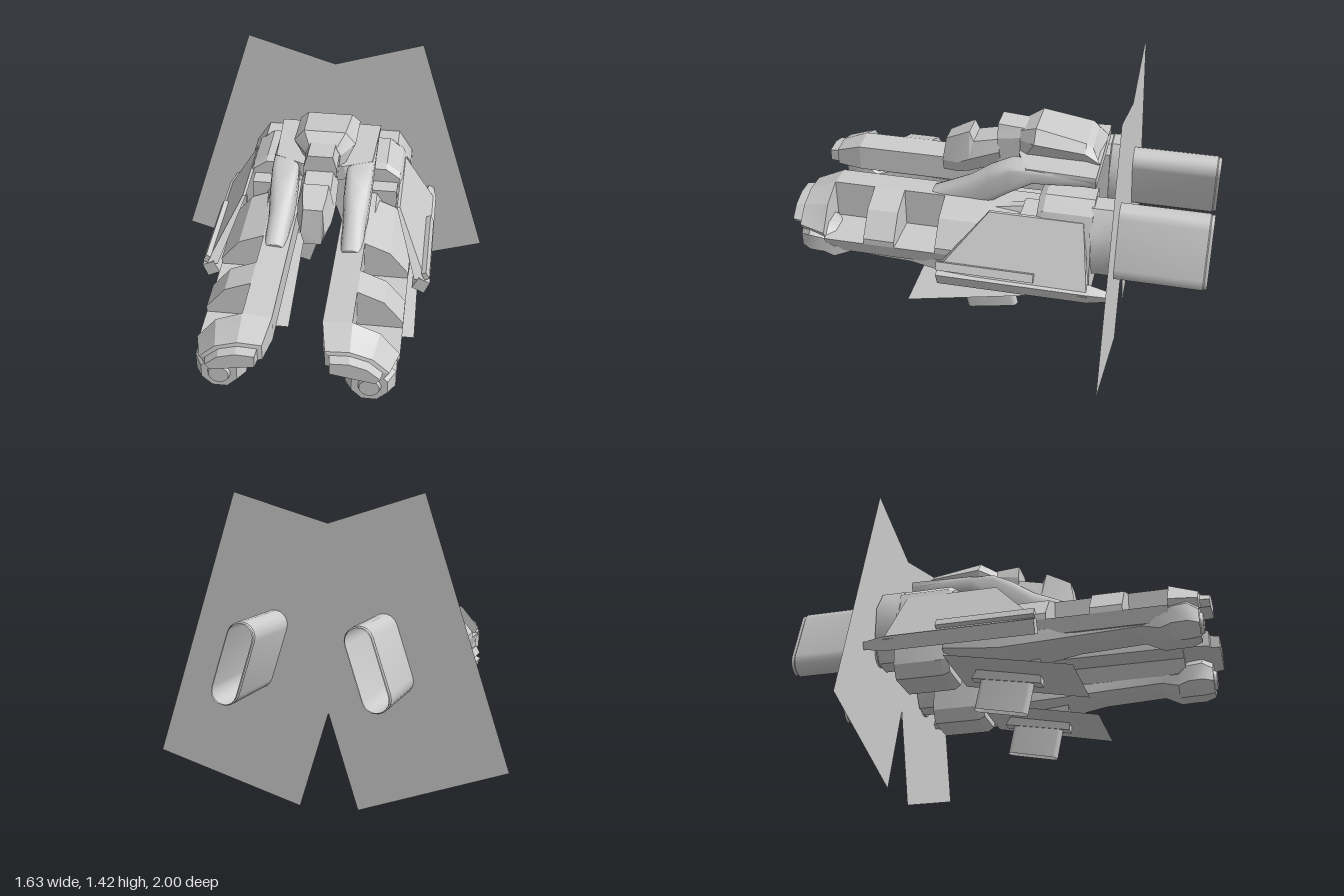
import * as THREE from 'three';
import { toCreasedNormals } from 'three/addons/utils/BufferGeometryUtils.js';

const mat = new THREE.MeshStandardMaterial({ color: 0xcccccc, side: THREE.DoubleSide });

function add(parent, name, geo, crease = 0.6) {
  const g = geo.index ? geo.toNonIndexed() : geo;
  const mesh = new THREE.Mesh(toCreasedNormals(g, crease), mat);
  mesh.name = name;
  parent.add(mesh);
  return mesh;
}

// Skin between loops of [x, y, z] points, optionally capped at both ends
function loft(loops, capped = true) {
  const n = loops[0].length, pos = loops.flat(2), idx = [];
  for (let s = 0; s < loops.length - 1; s++)
    for (let i = 0; i < n; i++) {
      const a = s * n + i, b = s * n + (i + 1) % n;
      idx.push(a, b, a + n, b, b + n, a + n);
    }
  if (capped) {
    const e = (loops.length - 1) * n;
    for (let i = 1; i < n - 1; i++) idx.push(0, i + 1, i, e, e + i, e + i + 1);
  }
  const g = new THREE.BufferGeometry();
  g.setAttribute('position', new THREE.Float32BufferAttribute(pos, 3));
  g.setIndex(idx);
  return g;
}

// Elliptical loop facing z; a power below 1 makes it boxier
function ring(cx, cy, z, rx, ry, n = 8, power = 1) {
  const bend = v => Math.sign(v) * Math.abs(v) ** power;
  return Array.from({ length: n }, (_, i) => {
    const a = ((i + 0.5) / n) * Math.PI * 2;
    return [cx + rx * bend(Math.cos(a)), cy + ry * bend(Math.sin(a)), z];
  });
}

// Six-sided symmetric loop: half-widths and heights of its top, middle and bottom
const hex = (z, wt, yt, wm, ym, wb, yb, dz = 0) => [
  [wb, yb, z], [wm, ym, z], [wt, yt, z + dz], [-wt, yt, z + dz], [-wm, ym, z], [-wb, yb, z]];

const shape = pts => new THREE.Shape(pts.map(p => new THREE.Vector2(...p)));
const prism = (pts, z0, z1) => new THREE.ExtrudeGeometry(shape(pts), { depth: z1 - z0, bevelEnabled: false }).translate(0, 0, z0);
const box = (x0, x1, y0, y1, z0, z1) => new THREE.BoxGeometry(x1 - x0, y1 - y0, z1 - z0)
  .translate((x0 + x1) / 2, (y0 + y1) / 2, (z0 + z1) / 2);

// Open flattened tube along z: [z, radius] steps, straight half-length h
const ovalTube = (steps, h) => loft(steps.map(([z, r]) => Array.from({ length: 20 }, (_, i) => {
  const top = i < 10, t = (top ? i / 9 : (i - 1) / 9) * Math.PI;
  return [r * Math.cos(t), (top ? h : -h) + r * Math.sin(t), z];
})), false);

function buildSide() {
  const side = new THREE.Group();

  // Forearm cowl with two square pits in its sloped outer shoulder
  const slope = [[0.24, 0.63], [0.24, 0.82], [0.36, 0.77], [0.45, 0.66], [0.45, 0.63]];
  const core = [[0.11, 0.68], [0.11, 0.81], [0.24, 0.82], [0.24, 0.63], [0.45, 0.63], [0.43, 0.56], [0.26, 0.55], [0.2, 0.66]];
  add(side, 'cowlCore', prism(core, -0.22, 0.82), 0.3);
  for (const [a, b] of [[-0.1, 0.27], [0.47, 0.62]]) add(side, 'cowlShoulder', prism(slope, a, b), 0.3);
  const nose = (z, k) => [[0.11, 0.68], [0.11, 0.81], [0.24, 0.82], [0.36, 0.77], [0.45, 0.66], [0.42, 0.6], [0.25, 0.67]]
    .map(([x, y]) => [0.25 + (x - 0.25) * k[0], 0.68 + (y - 0.68) * k[1], z]);
  add(side, 'cowlNose', loft([nose(0.82, [1, 1]), nose(0.95, [0.82, 0.62]), nose(0.955, [0.68, 0.5]), nose(1, [0.64, 0.45])]), 0.3);

  // Gun barrel under the cowl: z, rx, ry, y
  const barrel = [[-0.22, 0.12, 0.06, 0.57], [-0.08, 0.13, 0.075, 0.555], [0.05, 0.13, 0.08, 0.545], [0.25, 0.12, 0.075, 0.555],
    [0.4, 0.1, 0.06, 0.565], [0.7, 0.1, 0.055, 0.575], [0.78, 0.12, 0.075, 0.555], [0.83, 0.12, 0.105, 0.585],
    [0.9, 0.12, 0.11, 0.59], [0.95, 0.085, 0.085, 0.58]];
  add(side, 'barrel', loft(barrel.map(([z, rx, ry, y]) => ring(0.33, y, z, rx, ry))));
  add(side, 'muzzle', loft([ring(0.33, 0.58, 0.94, 0.055, 0.055, 16), ring(0.33, 0.58, 0.965, 0.045, 0.045, 16)]));

  // Upper arm sweeping down from the square shoulder to the cowl: z, x, y, rx, ry, boxiness
  const arm = [[-0.44, 0.185, 0.99, 0.06, 0.03, 0.4], [-0.15, 0.185, 0.98, 0.063, 0.04, 0.4], [-0.04, 0.18, 0.945, 0.066, 0.075, 0.4],
    [0.06, 0.178, 0.885, 0.064, 0.09, 0.55], [0.16, 0.178, 0.82, 0.056, 0.09, 0.7], [0.34, 0.18, 0.765, 0.052, 0.06, 0.7]];
  add(side, 'upperArm', loft(arm.map(([z, x, y, rx, ry, p]) => ring(x, y, z, rx, ry, 16, p))), 0.8);
  add(side, 'elbow', loft([ring(0.24, 0.74, -0.12, 0.06, 0.1), ring(0.25, 0.74, 0.05, 0.04, 0.07)]));

  // Engine housing, collar and leaning open exhaust
  const hull = (z, k) => [[0.16, 0.5], [0.16, 0.9], [0.2, 0.94], [0.3, 0.94], [0.37, 0.89], [0.42, 0.76], [0.42, 0.5], [0.38, 0.44], [0.2, 0.44]]
    .map(([x, y]) => [0.29 + (x - 0.29) * k, 0.69 + (y - 0.69) * k, z]);
  add(side, 'engineHousing', loft([hull(-0.46, 1), hull(-0.23, 1), hull(-0.2, 0.93)]), 0.4);
  add(side, 'intake', box(0.22, 0.36, 0.6, 0.85, -0.22, -0.12));
  add(side, 'engineCollar', loft([ring(0.29, 0.735, -0.565, 0.13, 0.2), ring(0.29, 0.735, -0.45, 0.13, 0.2)]));
  const exhaust = add(side, 'exhaust', ovalTube([[-0.56, 0.063], [-0.98, 0.063], [-0.985, 0.057], [-1, 0.057]], 0.122));
  exhaust.position.set(0.29, 0.72, 0);
  exhaust.rotation.z = 0.305;

  // Slanted side fin, thicker toward its lower edge, with a rail and a strip
  const fin = (spread, off) => [[0.24, 0.6], [0.02, 0.86], [-0.42, 0.86], [-0.47, 0.57]]
    .map(([z, y]) => [0.385 - off + (0.86 - y) * spread, y, z]);
  add(side, 'sideFin', loft([fin(0.57, 0), fin(0.42, 0.015)]), 0.3);
  const rail = (z, k) => [[0.47, 0.55], [0.5, 0.61], [0.555, 0.585], [0.53, 0.52]]
    .map(([x, y]) => [0.52 + (x - 0.52) * k, 0.565 + (y - 0.565) * k, z]);
  add(side, 'finRail', loft([rail(-0.57, 0.5), rail(-0.47, 0.95), rail(0.24, 1)]), 0.3);
  add(side, 'finStrip', box(-0.012, 0.012, -0.02, 0.02, -0.22, 0.24).rotateZ(0.46).translate(0.532, 0.625, 0));

  // Tilted belly plate with a tapered mount and a flat nozzle passing through it
  add(side, 'bellyPlate', loft([[[0.11, 0.49, -0.2], [0.49, 0.49, -0.2]], [[0.11, 0.37, 0.4], [0.5, 0.37, 0.4]]], false));
  const mount = (w, zf, yf, zb, yb) => [[0.305 - w, yf, zf], [0.305 + w, yf, zf], [0.305 + w, yb, zb], [0.305 - w, yb, zb]];
  add(side, 'bellyMount', loft([mount(0.045, 0.22, 0.5, -0.06, 0.5), mount(0.028, 0.22, 0.37, -0.11, 0.43)]));
  const nozzle = add(side, 'bellyNozzle', ovalTube([[-0.1, 0.024], [0.1, 0.024]], 0.104));
  nozzle.rotation.x = Math.PI / 2 + 0.2;
  nozzle.position.set(0.305, 0.355, 0.045);
  return side;
}

export function createModel() {
  const model = new THREE.Group();
  model.name = 'model';

  for (const [name, s] of [['leftSide', 1], ['rightSide', -1]]) {
    const side = buildSide();
    side.name = name;
    side.scale.x = s;
    model.add(side);
  }

  // Large notched rear sheet
  const half = [[0.437, 1.425], [0.817, 0.22], [0.137, 0]];
  const sheet = [[0, 1.29], ...half, [0, 0.44], ...half.map(([x, y]) => [-x, y]).reverse()];
  add(model, 'rearSheet', new THREE.ShapeGeometry(shape(sheet)).translate(0, 0, -0.57));

  // Shoulder bridge
  add(model, 'shoulderBridge', loft([hex(-0.45, 0.25, 1.02, 0.25, 1.0, 0.24, 0.96),
    hex(-0.12, 0.235, 1.02, 0.24, 1.0, 0.22, 0.96), hex(-0.06, 0.1, 1.02, 0.11, 0.98, 0.09, 0.94)]), 0.3);

  // Hood behind the head
  add(model, 'hood', loft([hex(-0.45, 0.1, 1.09, 0.14, 1.03, 0.08, 0.97, 0.04), hex(-0.38, 0.11, 1.115, 0.15, 1.08, 0.08, 0.97),
    hex(-0.14, 0.1, 1.16, 0.15, 1.1, 0.08, 0.97), hex(-0.06, 0.065, 1.12, 0.085, 1.08, 0.07, 0.95)]), 0.3);

  // Head: crown, recessed visor, brow and drooping snout
  add(model, 'crown', loft([hex(-0.08, 0.06, 1.13, 0.08, 1.09, 0.07, 0.95), hex(0.05, 0.06, 1.14, 0.08, 1.07, 0.07, 0.92)]), 0.3);
  add(model, 'face', loft([hex(0.04, 0.065, 1.06, 0.088, 1.0, 0.06, 0.92), hex(0.17, 0.065, 1.03, 0.09, 0.95, 0.06, 0.87),
    hex(0.19, 0.06, 1.08, 0.088, 0.94, 0.058, 0.86), hex(0.25, 0.055, 1.05, 0.08, 0.91, 0.055, 0.845),
    hex(0.33, 0.045, 1.02, 0.055, 0.9, 0.04, 0.84, -0.02)]), 0.3);
  return model;
}
